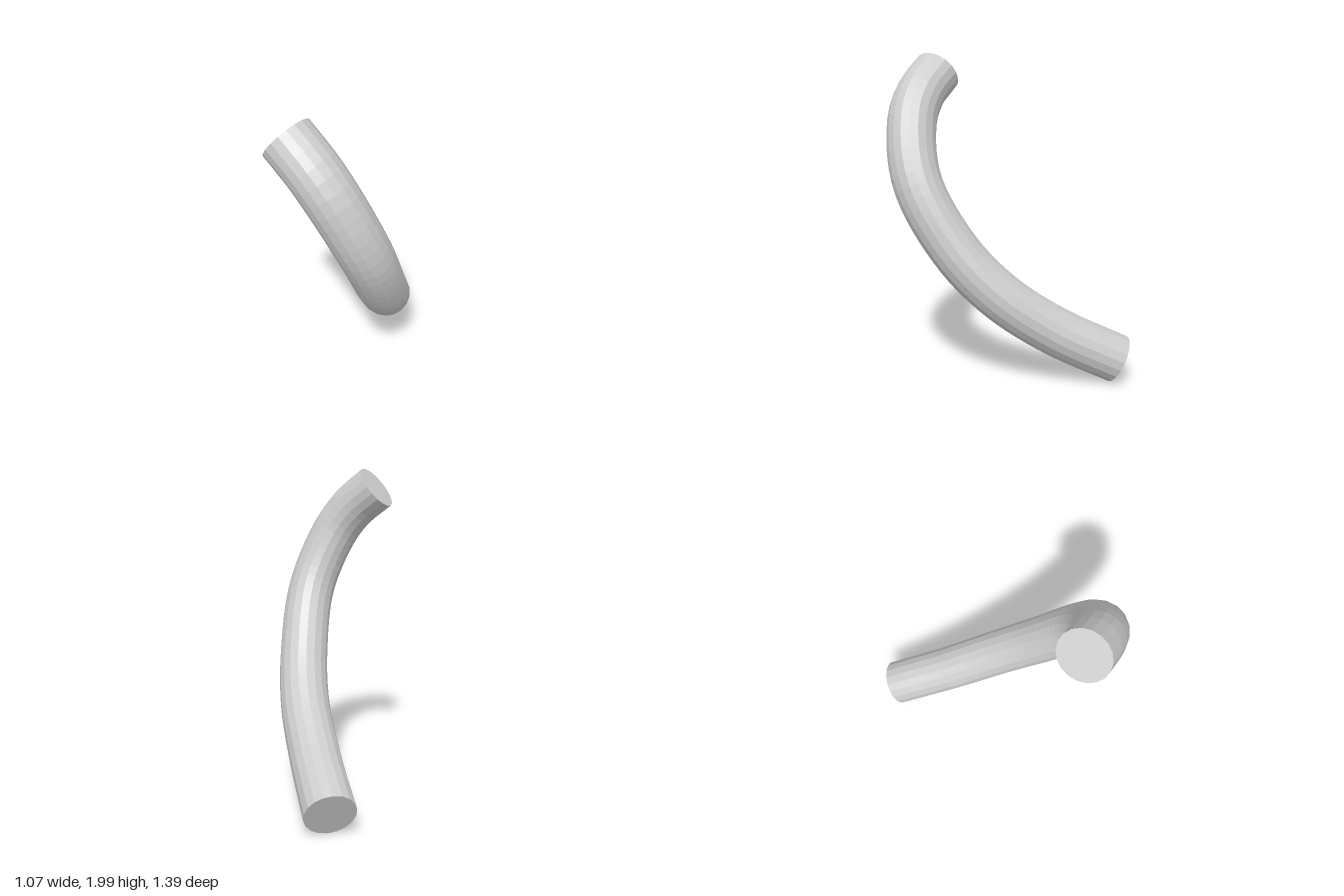
import * as THREE from 'three';

const RADIUS = 0.15;
const SIDES = 18;
const STEPS = 36;

// Centre line of the bent rod, from the low back end to the high front end
const CENTRE_LINE = [
  [-0.425, 0.136, -0.575],
  [-0.125, 0.33, -0.317],
  [0.12, 0.555, -0.095],
  [0.285, 0.82, 0.105],
  [0.39, 1.22, 0.325],
  [0.31, 1.57, 0.465],
  [0.195, 1.74, 0.515],
  [0.03, 1.87, 0.545],
];

export function createModel() {
  const group = new THREE.Group();
  group.name = 'bentRod';

  const path = new THREE.CatmullRomCurve3(CENTRE_LINE.map((p) => new THREE.Vector3(...p)));

  // Round cross-section, swept with flat end caps
  const section = [];
  for (let i = 0; i < SIDES; i++) {
    const a = (i / SIDES) * Math.PI * 2;
    section.push(new THREE.Vector2(Math.cos(a) * RADIUS, Math.sin(a) * RADIUS));
  }
  const geometry = new THREE.ExtrudeGeometry(new THREE.Shape(section), {
    steps: STEPS,
    extrudePath: path,
  });

  const rod = new THREE.Mesh(
    geometry,
    new THREE.MeshStandardMaterial({ color: 0xcccccc, flatShading: true })
  );
  rod.name = 'rod';
  group.add(rod);
  return group;
}
